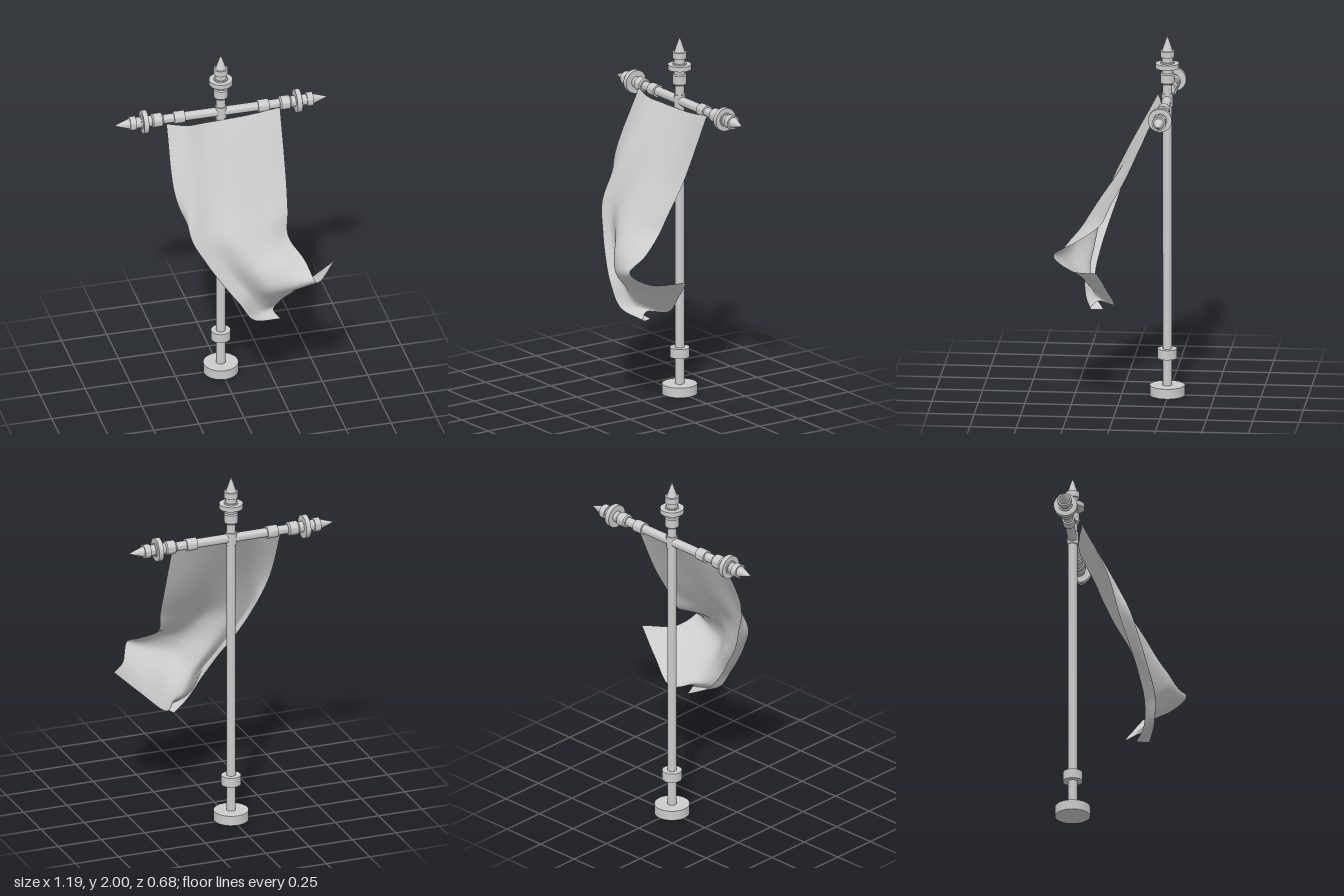
import * as THREE from 'three';
import { toCreasedNormals } from 'three/addons/utils/BufferGeometryUtils.js';

const POLE_Z = -0.245, BAR_Y = 1.64;
const material = new THREE.MeshStandardMaterial({ color: 0xcccccc });
const clothMaterial = new THREE.MeshStandardMaterial({ color: 0xcccccc, side: THREE.DoubleSide });

// Turned part from [radius, height] pairs, listed bottom to top
function turned(name, profile) {
  const points = profile.map(([r, y]) => new THREE.Vector2(r, y));
  const geometry = toCreasedNormals(new THREE.LatheGeometry(points, 28), 0.5);
  const mesh = new THREE.Mesh(geometry, material);
  mesh.name = name;
  return mesh;
}

// Spear finial with its tip at y = 0
function finial(name) {
  return turned(name, [
    [0.025, -0.3], [0.025, -0.272], [0.032, -0.272], [0.038, -0.264], [0.038, -0.217], [0.033, -0.21],
    [0.03, -0.21], [0.03, -0.184], [0.064, -0.184], [0.064, -0.157], [0.038, -0.157], [0.038, -0.15],
    [0.03, -0.15], [0.03, -0.122], [0.038, -0.122], [0.038, -0.088], [0.029, -0.088], [0, 0],
  ]);
}

// Banner cross-sections from top to bottom, each running from -x to +x:
// turned-back edge, ridge, groove, belly, belly, free edge
const bannerRows = [
  [[-0.315, 1.64, -0.195], [-0.2, 1.62, -0.18], [-0.1, 1.61, -0.2], [0.03, 1.605, -0.215], [0.18, 1.615, -0.215], [0.318, 1.64, -0.205]],
  [[-0.308, 1.28, -0.03], [-0.23, 1.27, 0.005], [-0.12, 1.27, -0.005], [0.03, 1.27, -0.01], [0.18, 1.27, -0.035], [0.312, 1.29, -0.055]],
  [[-0.235, 1.08, 0.025], [-0.25, 1.08, 0.085], [-0.15, 1.08, 0.085], [0, 1.08, 0.12], [0.17, 1.1, 0.08], [0.3, 1.13, 0.03]],
  [[-0.16, 0.93, 0.075], [-0.175, 0.93, 0.135], [-0.09, 0.94, 0.125], [0.05, 0.97, 0.19], [0.18, 0.99, 0.16], [0.287, 1.01, 0.09]],
  [[-0.07, 0.8, 0.115], [-0.09, 0.8, 0.175], [-0.01, 0.81, 0.15], [0.1, 0.86, 0.25], [0.23, 0.9, 0.265], [0.345, 0.925, 0.22]],
  [[0.01, 0.68, 0.14], [-0.01, 0.69, 0.2], [0.06, 0.71, 0.165], [0.14, 0.78, 0.26], [0.27, 0.82, 0.305], [0.372, 0.86, 0.335]],
  [[0.1, 0.57, 0.13], [0.07, 0.57, 0.19], [0.13, 0.6, 0.14], [0.22, 0.67, 0.17], [0.34, 0.735, 0.19], [0.43, 0.795, 0.24]],
  [[0.2, 0.52, 0.08], [0.23, 0.53, 0.15], [0.2, 0.565, 0.11], [0.27, 0.565, 0.02], [0.41, 0.685, 0.045], [0.545, 0.81, 0.085]],
];

// Smooth cloth: curves down each column, then across each row
function banner() {
  const across = 60, down = 84;
  const columns = bannerRows[0].map((_, c) =>
    new THREE.CatmullRomCurve3(bannerRows.map(row => new THREE.Vector3(...row[c]))));
  const positions = [], index = [];
  for (let j = 0; j <= down; j++) {
    const section = new THREE.CatmullRomCurve3(columns.map(curve => curve.getPoint(j / down)));
    for (let i = 0; i <= across; i++) positions.push(...section.getPoint(i / across).toArray());
  }
  for (let j = 0; j < down; j++) {
    for (let i = 0; i < across; i++) {
      const a = j * (across + 1) + i, b = a + across + 1;
      index.push(a, b, a + 1, a + 1, b, b + 1);
    }
  }
  const geometry = new THREE.BufferGeometry();
  geometry.setAttribute('position', new THREE.Float32BufferAttribute(positions, 3));
  geometry.setIndex(index);
  geometry.computeVertexNormals();
  const mesh = new THREE.Mesh(geometry, clothMaterial);
  mesh.name = 'banner';
  return mesh;
}

export function createModel() {
  const model = new THREE.Group();
  model.name = 'bannerStand';

  const stand = new THREE.Group();
  stand.name = 'stand';
  stand.position.z = POLE_Z;
  model.add(stand);

  // Upright: base disc, shaft, lower collar and crossbar joint
  stand.add(turned('base', [[0, 0], [0.095, 0], [0.095, 0.055], [0, 0.055]]));
  stand.add(turned('pole', [[0.025, 0.05], [0.025, 1.72]]));
  stand.add(turned('poleCollar', [[0.025, 0.205], [0.053, 0.205], [0.053, 0.258], [0.025, 0.258]]));
  stand.add(turned('joint', [[0.025, 1.605], [0.031, 1.605], [0.031, 1.675], [0.025, 1.675]]));
  const top = finial('topFinial');
  top.position.y = 2;
  stand.add(top);

  // Mirrored arms of the crossbar
  for (const side of [-1, 1]) {
    const arm = new THREE.Group();
    arm.name = side > 0 ? 'leftArm' : 'rightArm';
    arm.position.y = BAR_Y;
    arm.rotation.z = -side * Math.PI / 2;
    arm.add(turned('bar', [[0.025, 0], [0.025, 0.32]]));
    arm.add(turned('barCollar', [[0.025, 0.203], [0.034, 0.203], [0.034, 0.263], [0.025, 0.263]]));
    const tip = finial('armFinial');
    tip.position.y = 0.595;
    arm.add(tip);
    stand.add(arm);
  }

  model.add(banner());
  return model;
}
